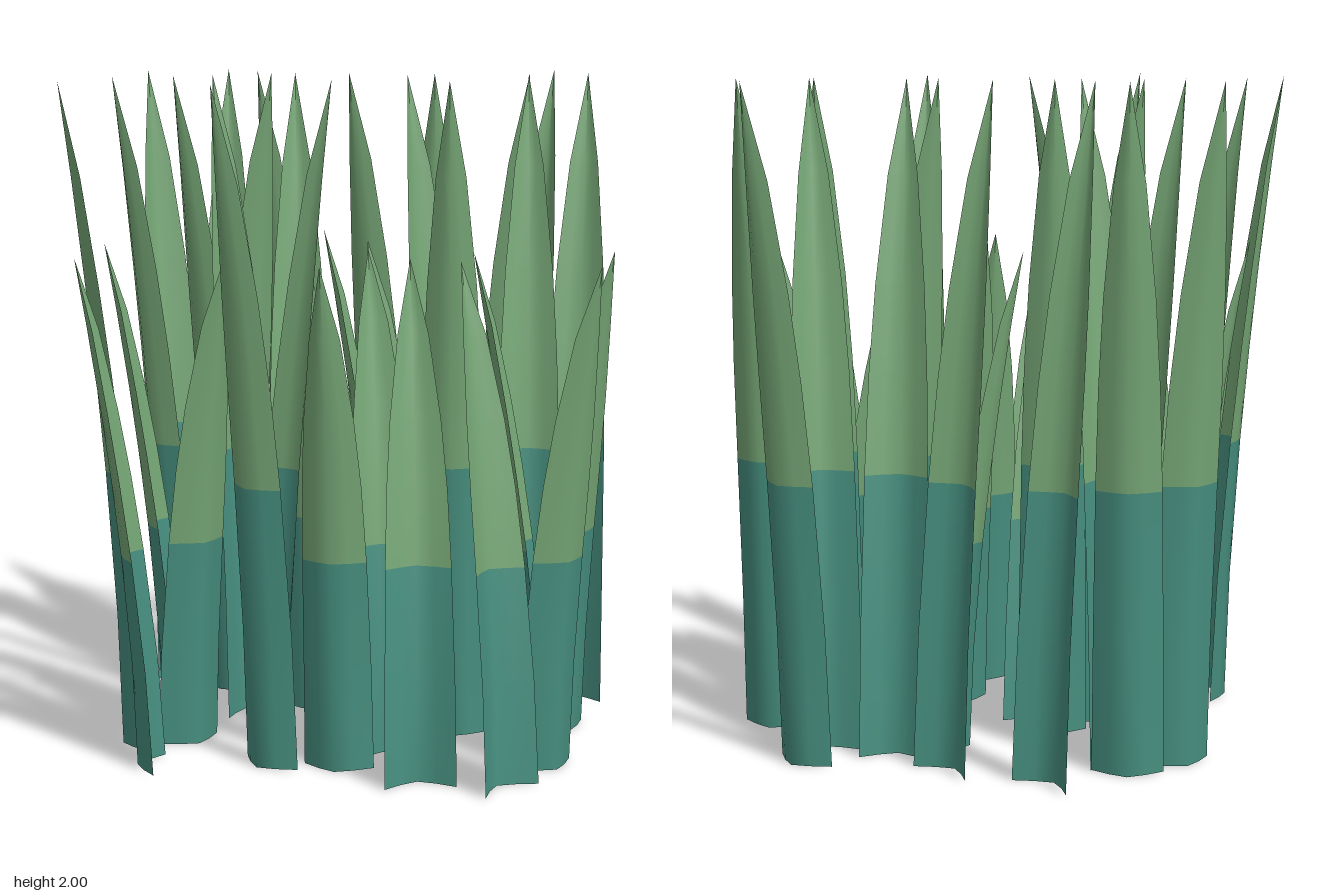
import * as THREE from 'three';

const LENGTH = 0.23; // how far the tip overhangs the base corners
const FOLD = 0.065;  // depth of the channel at the base

// tip x, tip z, heading in degrees
const TALL = [
  [-0.50, -0.77, -173], [-0.37, -0.56, -32], [-0.74, -0.59, -142], [-0.29, -0.32, 42],
  [-0.57, -0.12, -41], [-0.74, -0.01, -50], [-0.22, -0.37, -169], [-0.45, -0.15, -138],
  [-0.06, -0.48, -32], [0.23, -0.33, 1], [0.53, -0.32, 25], [0.59, -0.82, 150],
  [0.71, -0.47, 172], [0.53, -0.27, -174], [0.15, -0.26, -137], [-0.81, 0.43, -74],
  [-0.03, 0.23, 128], [0.33, 0.37, -1], [-0.31, 0.72, -37],
];
const SHORT = [
  [-0.13, 0.14, -4], [-0.13, -0.38, -93], [0.05, -0.03, -142], [0.81, 0.22, 44],
  [-0.74, 0.14, -89], [-0.31, 0.49, 42], [0.40, 0.31, -93], [0.08, 0.24, -158],
  [0.78, 0.63, 43], [-0.73, 0.60, -89], [0.00, 0.77, -7], [0.23, 0.51, -166],
  [0.38, 0.57, -133],
];

// height fraction and half width of each cross-section
const ROWS = [[0, 0.105], [0.2, 0.102], [0.42, 0.096], [0.57, 0.088], [0.7, 0.074], [0.86, 0.045], [1, 0]];
const COLOUR_ROW = 2; // the base colour ends at this row
const COLS = [-1, -0.5, 0, 0.5, 1];

// Folded leaf leaning toward +z, origin below its tip
function bladeGeometry(height) {
  const pos = [], index = [];
  for (const [t, half] of ROWS) {
    const spine = FOLD + (LENGTH - FOLD) * Math.pow(t, 1.6) - LENGTH;
    for (const u of COLS) {
      const back = FOLD * Math.pow(1 - t, 0.5) * Math.pow(Math.abs(u), 1.3);
      pos.push(u * half, t * height, spine - back);
    }
  }
  const n = COLS.length;
  for (let r = 0; r < ROWS.length - 1; r++) {
    for (let c = 0; c < n - 1; c++) {
      const a = r * n + c, b = a + 1, d = a + n, e = d + 1;
      index.push(a, b, d);
      if (r < ROWS.length - 2) index.push(b, e, d);
    }
  }
  const g = new THREE.BufferGeometry();
  g.setAttribute('position', new THREE.Float32BufferAttribute(pos, 3));
  g.setIndex(index);
  const split = COLOUR_ROW * (n - 1) * 6;
  g.addGroup(0, split, 0);
  g.addGroup(split, index.length - split, 1);
  g.computeVertexNormals();
  return g;
}

export function createModel() {
  const group = new THREE.Group();
  group.name = 'grassPatch';
  const teal = new THREE.MeshStandardMaterial({ color: 0x479080, side: THREE.DoubleSide });
  teal.name = 'teal base';
  const green = new THREE.MeshStandardMaterial({ color: 0x77a877, side: THREE.DoubleSide });
  green.name = 'leaf green';

  const plant = (list, height, name) => {
    const geometry = bladeGeometry(height);
    for (const [x, z, heading] of list) {
      const blade = new THREE.Mesh(geometry, [teal, green]);
      blade.name = name;
      blade.position.set(x, 0, z);
      blade.rotation.y = THREE.MathUtils.degToRad(heading);
      group.add(blade);
    }
  };
  plant(TALL, 2, 'tallBlade');
  plant(SHORT, 1.5, 'shortBlade');
  return group;
}
